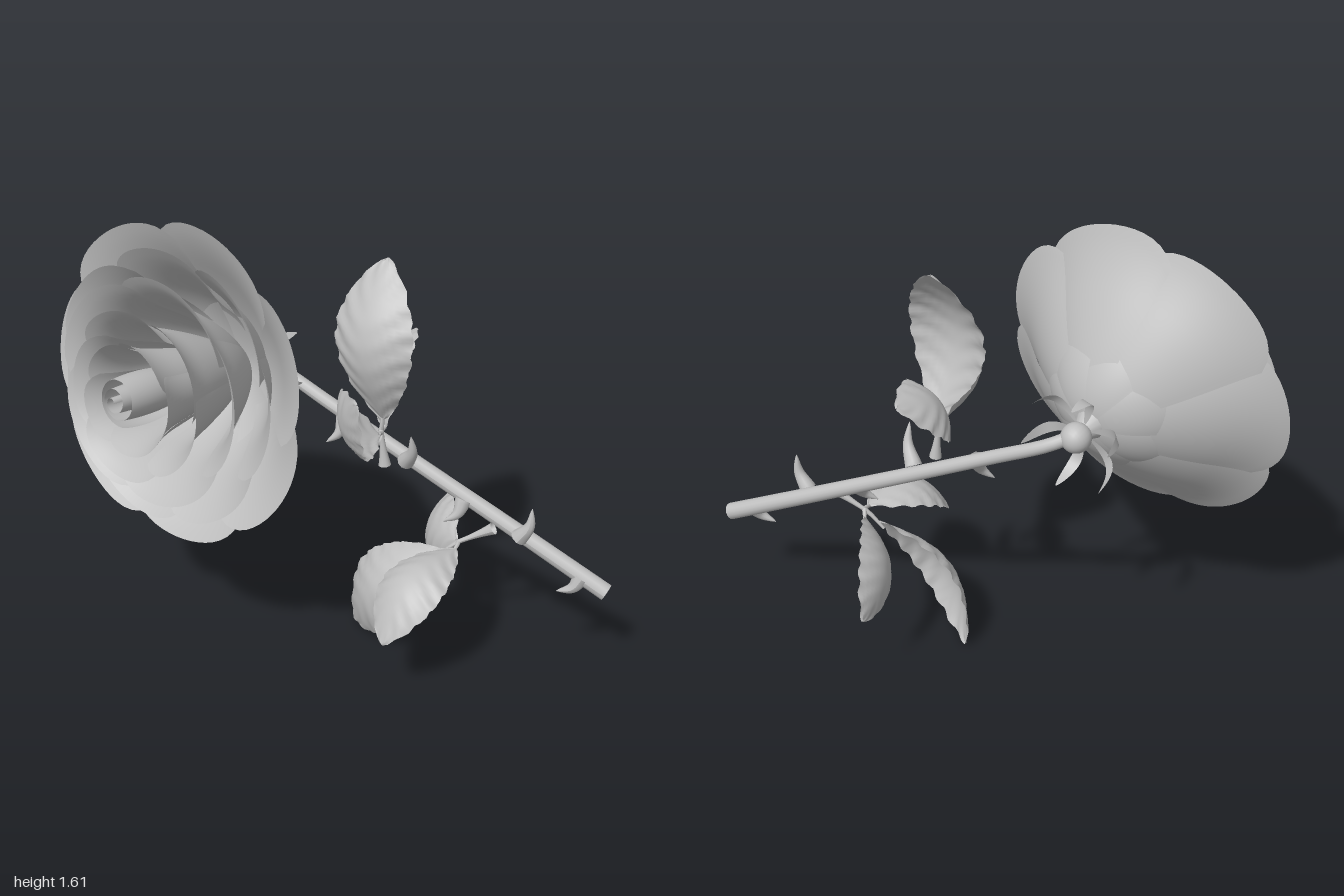
import * as THREE from 'three';
import { ParametricGeometry } from 'three/addons/geometries/ParametricGeometry.js';

const V = (x, y, z) => new THREE.Vector3(x, y, z);
const grey = new THREE.MeshStandardMaterial({ color: 0xbfbfbf, side: THREE.DoubleSide });
grey.name = 'plain grey';

function add(parent, name, geometry) {
  const mesh = new THREE.Mesh(geometry, grey);
  mesh.name = name;
  parent.add(mesh);
  return mesh;
}

// Open sheet from a rule in (u, v), with smooth normals
function sheet(rule, nu, nv) {
  const g = new ParametricGeometry(rule, nu, nv);
  g.computeVertexNormals();
  return g;
}

// Round rod along points, with its radius given along the length
function rod(points, radiusAt, steps = 16, sides = 12) {
  const curve = new THREE.CatmullRomCurve3(points);
  const g = new THREE.TubeGeometry(curve, steps, 1, sides);
  const p = g.attributes.position, v = V(0, 0, 0);
  for (let i = 0; i <= steps; i++) {
    const c = curve.getPointAt(i / steps), r = radiusAt(i / steps);
    for (let j = 0; j <= sides; j++) {
      const k = i * (sides + 1) + j;
      v.fromBufferAttribute(p, k).sub(c).multiplyScalar(r).add(c);
      p.setXYZ(k, v.x, v.y, v.z);
    }
  }
  g.computeVertexNormals();
  return g;
}

// Pointed blade from base to tip, domed toward the normal
function blade(base, tip, normal, width, arch, teeth) {
  const L = tip.clone().sub(base);
  const dir = L.clone().normalize();
  const n = normal.clone().addScaledVector(dir, -normal.dot(dir)).normalize();
  const w = new THREE.Vector3().crossVectors(dir, n);
  return sheet((a, t, out) => {
    const s = a * 2 - 1, e = Math.abs(s), swell = Math.sin(Math.PI * t);
    let half = width / 2 * Math.pow(Math.sin(Math.PI * Math.pow(t, 1.08)) + 1e-6, 0.72) + 0.002;
    let lift = arch * swell;
    if (teeth) {
      half *= 1 + 0.05 * e * ((t * teeth) % 1 - 0.5);
      lift += -0.2 * width * e * e * swell
        + 0.018 * width * e * Math.sin(2 * Math.PI * (t * 7 - e * 1.2));
    }
    out.copy(base).addScaledVector(L, t).addScaledVector(w, s * half).addScaledVector(n, lift);
  }, 12, teeth ? 44 : 14);
}

// One petal of a ring; local y is the flower axis
function petal(angle, halfAngle, R, H, spread, rise, curl) {
  return sheet((a, t, out) => {
    const s = a * 2 - 1, e = Math.abs(s);
    const v = 0.02 + 0.98 * t * (1 - 0.09 * Math.pow(e, 5));
    const lip = Math.max(0, (v - 0.7) / 0.3);
    const r = R * Math.pow(v, spread) * (1 + 0.03 * s - 0.05 * e * e) + curl * lip * lip;
    const h = H * Math.pow(v, rise) - curl * 0.6 * lip * lip * lip;
    const th = angle + s * halfAngle;
    out.set(r * Math.cos(th), h, -r * Math.sin(th));
  }, 18, 20);
}

function buildFlower() {
  const flower = new THREE.Group();
  flower.name = 'flower';
  flower.position.set(-0.36, 1.01, -0.14);
  flower.quaternion.setFromUnitVectors(V(0, 1, 0), V(-0.37, 0.165, 0.91).normalize());

  // Rings of petals: count, rim radius, rim height, spread, rise, lip curl, start angle
  const rings = [
    [7, 0.53, 0.35, 0.85, 1.3, 0.025, 0.91],
    [7, 0.435, 0.41, 0.8, 1.75, 0.035, 0.46],
    [5, 0.35, 0.49, 0.68, 1.2, 0.04, 0.95],
    [5, 0.25, 0.55, 0.58, 1.05, 0.035, 0.3],
    [5, 0.165, 0.575, 0.5, 1, 0.025, 0.8]
  ];
  rings.forEach(([n, R, H, spread, rise, curl, start], k) => {
    for (let i = 0; i < n; i++) {
      const wobble = 1 + 0.015 * Math.sin(i * 2.7 + k * 1.9);
      add(flower, 'petal', petal(start + i * 2 * Math.PI / n, 1.25 * Math.PI / n,
        R * wobble, H * wobble, spread, rise, curl));
    }
  });

  // Rolled heart
  add(flower, 'rolledHeart', sheet((u, v, out) => {
    const th = u * Math.PI * 5.5, r = (0.012 + 0.075 * u) * (0.8 + 0.3 * Math.sin(Math.PI * v * 0.75));
    out.set(r * Math.cos(th), 0.3 + (0.32 - 0.04 * u) * v, -r * Math.sin(th));
  }, 90, 10));

  // Hip and sepals
  add(flower, 'hip', new THREE.SphereGeometry(0.052, 20, 14)).position.y = -0.07;
  add(flower, 'neck', new THREE.CylinderGeometry(0.06, 0.03, 0.06, 16, 1, true)).position.y = -0.01;
  for (let i = 0; i < 6; i++) {
    const a = i * Math.PI / 3 + 0.4, c = Math.cos(a), s = -Math.sin(a);
    add(flower, 'sepal', blade(V(c * 0.03, -0.03, s * 0.03), V(c * 0.18, -0.14, s * 0.18),
      V(0, 1, 0), 0.036, 0.06, 0));
  }
  return flower;
}

function buildStem() {
  const stem = new THREE.Group();
  stem.name = 'stem';
  const end = V(0.985, 0.367, -0.065), before = V(0.3, 0.7, -0.157);
  add(stem, 'stalk', rod([end, V(0.64, 0.535, -0.113), before, V(-0.05, 0.872, -0.203),
    V(-0.25, 0.97, -0.228), V(-0.335, 1.01, -0.205)], t => 0.031 - 0.009 * t, 40, 16));
  const cap = add(stem, 'stalkEnd', new THREE.CircleGeometry(0.031, 16));
  cap.position.copy(end);
  cap.quaternion.setFromUnitVectors(V(0, 0, 1), end.clone().sub(before).normalize());

  // Hooked thorns: foot and tip
  const thorns = [
    [V(0.01, 0.84, -0.18), V(-0.045, 0.75, -0.14)],
    [V(0.25, 0.735, -0.12), V(0.28, 0.87, -0.06)],
    [V(0.46, 0.615, -0.12), V(0.4, 0.54, -0.08)],
    [V(0.67, 0.53, -0.07), V(0.71, 0.66, -0.06)],
    [V(0.895, 0.41, -0.07), V(0.815, 0.345, -0.055)]
  ];
  for (const [foot, tip] of thorns) {
    const mid = foot.clone().lerp(tip, 0.5).add(V(0.015, -0.008, 0.006));
    add(stem, 'thorn', rod([foot, mid, tip], t => 0.03 * Math.pow(1 - t, 0.8) + 0.001, 10, 10));
  }
  return stem;
}

// Spray of three leaves: stalk foot, fork, then [base, tip, normal, width, arch]
function buildSpray(name, foot, fork, leaves) {
  const spray = new THREE.Group();
  spray.name = name;
  add(spray, 'leafStalk', rod([foot, foot.clone().lerp(fork, 0.5), fork], t => 0.008 + 0.014 * (1 - t) ** 2));
  for (const [base, tip, normal, width, arch] of leaves) {
    const mid = fork.clone().lerp(base, 0.5);
    add(spray, 'leafletStalk', rod([fork, mid, base.clone().lerp(tip, 0.06)], t => 0.009 - 0.004 * t, 6, 8));
    add(spray, 'leaf', blade(base, tip, normal, width, arch, 13));
  }
  return spray;
}

export function createModel() {
  const rose = new THREE.Group();
  rose.name = 'rose';
  rose.add(buildFlower(), buildStem());
  rose.add(buildSpray('upperLeaves', V(0.19, 0.745, -0.06), V(0.175, 0.88, -0.06), [
    [V(0.18, 0.92, -0.06), V(0.165, 1.48, -0.14), V(-0.38, 0, 1), 0.31, 0.13],
    [V(0.18, 0.87, -0.04), V(0.18, 1.15, 0.27), V(-1, -0.42, 0.38), 0.24, 0.1],
    [V(0.18, 0.87, -0.09), V(0.21, 1.12, -0.38), V(-1, 0.62, 0.65), 0.24, 0.1]
  ]));
  rose.add(buildSpray('lowerLeaves', V(0.58, 0.55, -0.07), V(0.46, 0.475, -0.065), [
    [V(0.41, 0.43, -0.06), V(0.065, 0.005, -0.14), V(-0.55, 0.28, 0.76), 0.3, 0.12],
    [V(0.46, 0.47, -0.03), V(0.29, 0.27, 0.32), V(-0.25, 1, 0.3), 0.25, 0.11],
    [V(0.45, 0.46, -0.09), V(0.33, 0.305, -0.47), V(-1, 0.3, 0.1), 0.25, 0.09]
  ]));
  return rose;
}
